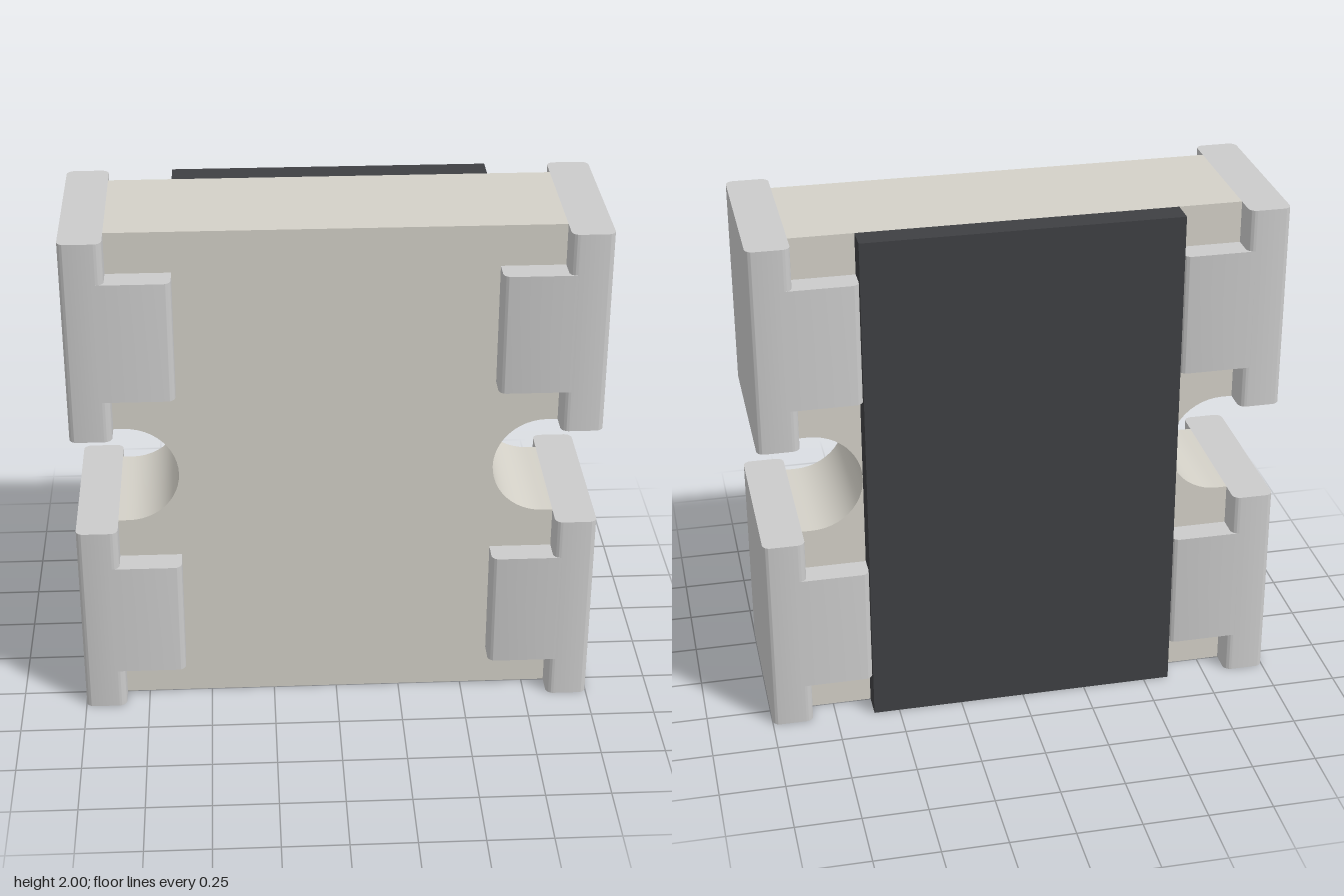
import * as THREE from 'three';
import { toCreasedNormals } from 'three/addons/utils/BufferGeometryUtils.js';

const R = 0.03; // edge rounding of the metal parts

// Extrude a shape and smooth only its curved walls
function extrude(shape, depth) {
  const geo = new THREE.ExtrudeGeometry(shape, { depth, bevelEnabled: false, curveSegments: 12 });
  return toCreasedNormals(geo, 0.5);
}

// Extrude a plan outline (x, z) upwards from y0 to y1
function rise(shape, y0, y1) {
  return extrude(shape, y1 - y0).rotateX(-Math.PI / 2).translate(0, y0, 0);
}

function add(parent, name, geometry, material) {
  const mesh = new THREE.Mesh(geometry, material);
  mesh.name = name;
  parent.add(mesh);
  return mesh;
}

// Slab outline with a rounded slot in each side
function bodyShape() {
  const s = new THREE.Shape();
  s.moveTo(-0.84, 0);
  s.lineTo(0.84, 0);
  s.lineTo(0.84, 0.8);
  s.lineTo(0.8, 0.8);
  s.absarc(0.8, 1, 0.2, -Math.PI / 2, Math.PI / 2, true);
  s.lineTo(0.84, 1.2);
  s.lineTo(0.84, 2);
  s.lineTo(-0.84, 2);
  s.lineTo(-0.84, 1.2);
  s.lineTo(-0.8, 1.2);
  s.absarc(-0.8, 1, 0.2, Math.PI / 2, -Math.PI / 2, true);
  s.lineTo(-0.84, 0.8);
  s.closePath();
  return s;
}

// Plan of an end cap: a bar with four rounded corners
function capShape() {
  const s = new THREE.Shape(), q = Math.PI / 2;
  const x0 = 0.84 + R, x1 = 1 - R, z = 0.35 - R;
  s.absarc(x1, -z, R, -q, 0, false);
  s.absarc(x1, z, R, 0, q, false);
  s.absarc(x0, z, R, q, 2 * q, false);
  s.absarc(x0, -z, R, 2 * q, 3 * q, false);
  s.closePath();
  return s;
}

// Plan of a contact pad, rounded on its inner edge
function padShape() {
  const s = new THREE.Shape();
  s.moveTo(0.6, 0.25);
  s.lineTo(0.87, 0.25);
  s.lineTo(0.87, 0.35);
  s.absarc(0.6 + R, 0.35 - R, R, Math.PI / 2, Math.PI, false);
  s.closePath();
  return s;
}

export function createModel() {
  const model = new THREE.Group();
  model.name = 'chipComponent';
  const ceramic = new THREE.MeshStandardMaterial({ color: 0xd4d1c8 });
  const metal = new THREE.MeshStandardMaterial({ color: 0xcccccc });
  const coating = new THREE.MeshStandardMaterial({ color: 0x3f4043 });

  add(model, 'body', extrude(bodyShape(), 0.5).translate(0, 0, -0.25), ceramic);

  // Dark cover plate on the back
  const plate = add(model, 'coverPlate', new THREE.BoxGeometry(1.2, 2, 0.1), coating);
  plate.position.set(0, 1, -0.3);

  // Four terminals: end cap plus a pad on the front and on the back
  const capGeo = rise(capShape(), 0, 0.8);
  const padGeo = rise(padShape(), 0.165, 0.64);
  const mirroredPad = new THREE.Shape(padShape().getPoints(12).map((p) => new THREE.Vector2(p.x, -p.y)));
  const otherPadGeo = rise(mirroredPad, 0.165, 0.64);
  for (const side of ['left', 'right']) {
    for (const level of ['Lower', 'Upper']) {
      const terminal = new THREE.Group();
      terminal.name = `${side}${level}Terminal`;
      terminal.position.y = level === 'Lower' ? 0 : 1.2;
      terminal.rotation.y = side === 'left' ? 0 : Math.PI;
      add(terminal, 'endCap', capGeo, metal);
      add(terminal, side === 'left' ? 'backPad' : 'frontPad', padGeo, metal);
      add(terminal, side === 'left' ? 'frontPad' : 'backPad', otherPadGeo, metal);
      model.add(terminal);
    }
  }
  return model;
}
